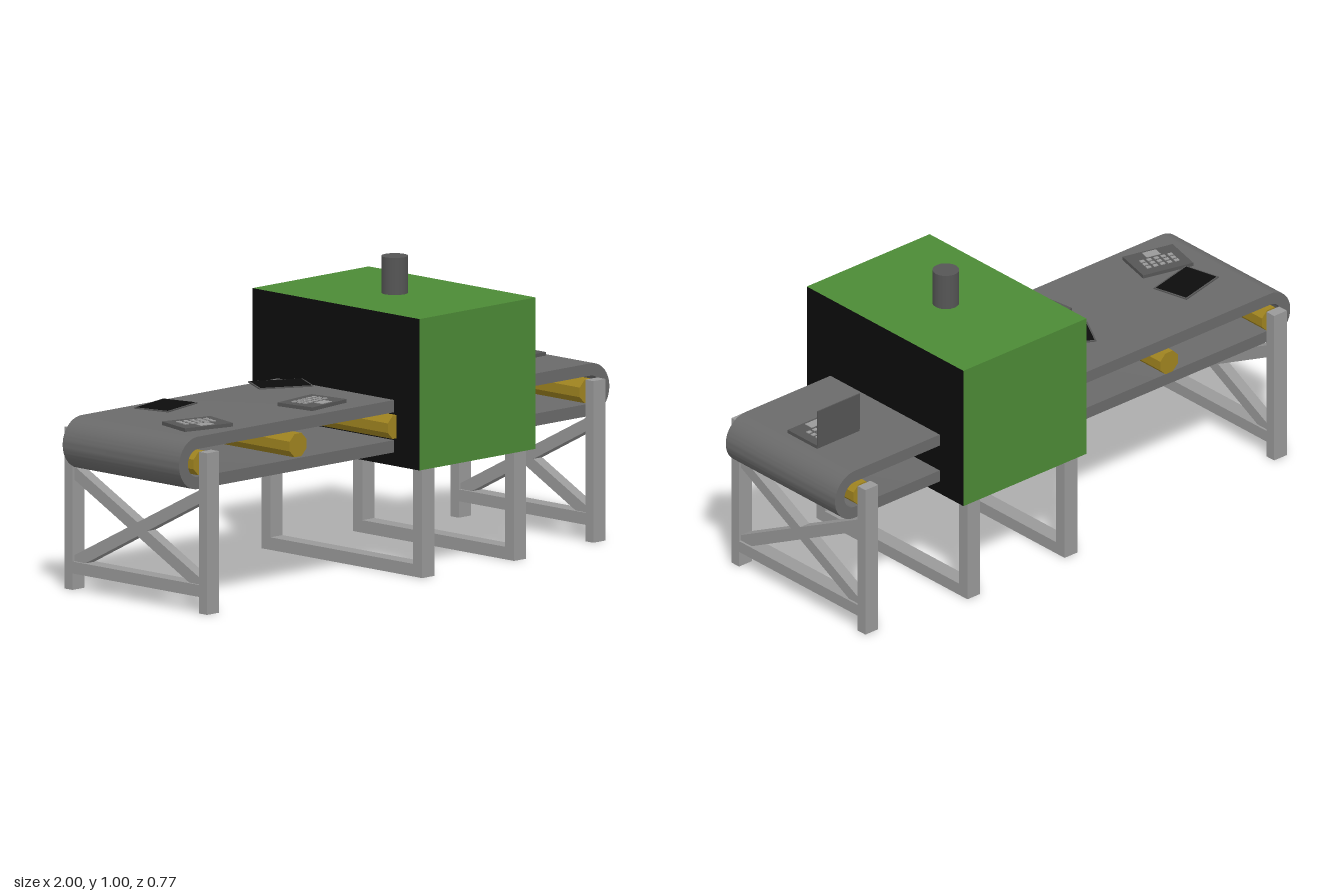
import * as THREE from 'three';
import { toCreasedNormals } from 'three/addons/utils/BufferGeometryUtils.js';

const paint = (color, flatShading = false) => {
  const m = new THREE.MeshStandardMaterial({ color });
  m.flatShading = flatShading;
  return m;
};
const steel = paint(0x999999), rubber = paint(0x6a6a6a), brass = paint(0xa08420, true);
const green = paint(0x4c8a36), black = paint(0x0c0c0c), dark = paint(0x555555), keyGrey = paint(0x999999);

function add(parent, name, geometry, material, x = 0, y = 0, z = 0) {
  const mesh = new THREE.Mesh(geometry, material);
  mesh.name = name;
  mesh.position.set(x, y, z);
  parent.add(mesh);
  return mesh;
}
const box = (w, h, d) => new THREE.BoxGeometry(w, h, d);

function group(parent, name, x = 0, y = 0, z = 0, turn = 0) {
  const g = new THREE.Group();
  g.name = name;
  g.position.set(x, y, z);
  g.rotation.y = turn;
  parent.add(g);
  return g;
}

// Stadium outline: two straight runs joined by half circles
function stadium(path, halfLength, r) {
  path.moveTo(-halfLength, -r);
  path.lineTo(halfLength, -r);
  path.absarc(halfLength, 0, r, -Math.PI / 2, Math.PI / 2, false);
  path.lineTo(-halfLength, r);
  path.absarc(-halfLength, 0, r, Math.PI / 2, Math.PI * 1.5, false);
  return path;
}

function beltGeometry() {
  const shape = stadium(new THREE.Shape(), 0.9125, 0.0875);
  shape.holes.push(stadium(new THREE.Path(), 0.9125, 0.0465));
  const g = new THREE.ExtrudeGeometry(shape, { depth: 0.54, bevelEnabled: false, curveSegments: 20 });
  g.translate(0, 0, -0.27);
  return toCreasedNormals(g, 0.6);
}

// End trestle: two posts, a low rail and crossed braces cut flush with post and rail
function addTrestle(parent, x) {
  const g = group(parent, 'endTrestle', x);
  for (const s of [-1, 1]) {
    add(g, 'trestlePost', box(0.056, 0.54, 0.038), steel, 0, 0.27, s * 0.312);
    const brace = new THREE.Shape([
      [0.293, 0.413], [-0.293, 0.115], [-0.293, 0.095], [-0.24, 0.095], [0.293, 0.368],
    ].map(([a, b]) => new THREE.Vector2(s * a, b)));
    const bar = new THREE.ExtrudeGeometry(brace, { depth: 0.04, bevelEnabled: false });
    bar.translate(0, 0, -0.02);
    bar.rotateY(Math.PI / 2);
    add(g, 'crossBrace', bar, steel);
  }
  add(g, 'lowRail', box(0.056, 0.04, 0.586), steel, 0, 0.075, 0);
}

// Laptop base with key grid and touchpad
function addKeyboard(parent, x, z, turn) {
  const g = group(parent, 'laptopBase', x, 0.585, z, turn);
  add(g, 'baseShell', box(0.186, 0.012, 0.145), dark, 0, 0.006, 0);
  for (let row = 0; row < 3; row++)
    for (let col = 0; col < 5; col++)
      add(g, 'key', box(0.016, 0.003, 0.013), keyGrey, (col - 2) * 0.026, 0.0135, -0.032 + row * 0.022);
  add(g, 'touchpad', box(0.052, 0.002, 0.034), keyGrey, 0, 0.013, 0.046);
  return g;
}

// Laptop lid lying flat, display upwards
function addLid(parent, x, y, z, turn) {
  const g = group(parent, 'laptopLid', x, y, z, turn);
  add(g, 'lidShell', box(0.186, 0.004, 0.132), dark);
  add(g, 'display', box(0.174, 0.001, 0.12), black, 0, 0.0025, 0);
  return g;
}

export function createModel() {
  const model = new THREE.Group();
  model.name = 'conveyorLine';

  // Conveyor belt and its rollers
  add(model, 'belt', beltGeometry(), rubber, 0, 0.4975, 0);
  const roller = new THREE.CylinderGeometry(0.042, 0.042, 0.562, 8);
  roller.rotateY(Math.PI / 8);
  roller.rotateX(Math.PI / 2);
  for (const x of [-0.905, -0.458, -0.002, 0.444, 0.89]) add(model, 'roller', roller, brass, x, 0.4975, 0);

  for (const s of [-1, 1]) addTrestle(model, s * 0.9);
  for (const s of [-1, 1]) model.children.at(s < 0 ? -2 : -1).position.x = s < 0 ? -0.903 : 0.893;

  // Processing cabinet: green shell with black openings at both belt ends
  const cabinet = group(model, 'cabinet', 0.27);
  add(cabinet, 'cabinetShell', box(0.54, 0.506, 0.774), [black, black, green, green, green, green], 0, 0.618, 0);
  add(cabinet, 'chimney', new THREE.CylinderGeometry(0.044, 0.044, 0.126, 20), dark, 0.003, 0.932, 0);

  // U-shaped stands below the cabinet
  for (const x of [-0.215, 0.212]) {
    const stand = group(cabinet, 'cabinetStand', x);
    for (const s of [-1, 1]) add(stand, 'standLeg', box(0.056, 0.366, 0.042), steel, 0, 0.183, s * 0.352);
    add(stand, 'footRail', box(0.056, 0.042, 0.662), steel, 0, 0.021, 0);
  }

  // Loose laptop halves before the cabinet
  addKeyboard(model, -0.777, 0.133, -0.24);
  addKeyboard(model, -0.245, 0.133, 0.135);
  addLid(model, -0.717, 0.617, -0.074, 0.24);
  addLid(model, -0.182, 0.617, -0.074, -0.5);

  // Finished laptop after the cabinet, lid upright
  const laptop = group(model, 'finishedLaptop');
  addKeyboard(laptop, 0.813, -0.003, 0);
  addLid(laptop, 0.813, 0.66, -0.077, 0).rotation.x = Math.PI / 2;

  return model;
}
